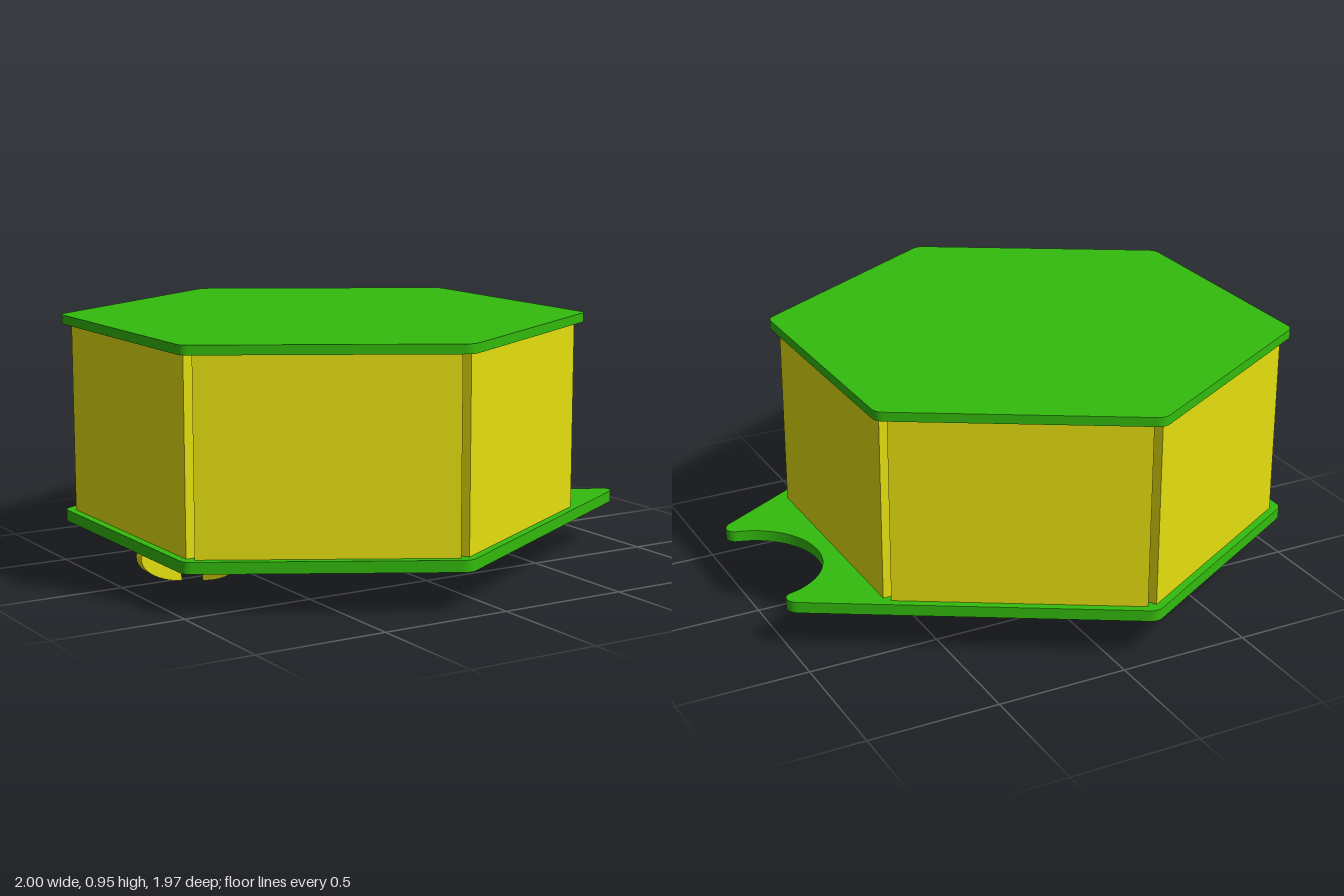
import * as THREE from 'three';

const CX = -0.14;          // hexagon centre along x
const APOTHEM = 0.86;      // lid and floor hexagon
const R = APOTHEM / Math.cos(Math.PI / 6);

const green = new THREE.MeshStandardMaterial({ color: 0x33bb0d });
const yellow = new THREE.MeshStandardMaterial({ color: 0xe6e010 });

function addMesh(parent, name, geometry, material) {
  const mesh = new THREE.Mesh(geometry, material);
  mesh.name = name;
  parent.add(mesh);
  return mesh;
}

// Hexagon corner k, with corners pointing along z
function corner(k) {
  const a = Math.PI / 2 + (k * Math.PI) / 3;
  return new THREE.Vector2(CX + R * Math.cos(a), R * Math.sin(a));
}

// Softly rounded corner between two neighbours
function roundCorner(shape, k, start) {
  const p = corner(k);
  const near = (q) => p.clone().lerp(q, 0.03 / R);
  const a = near(corner(k - 1)), b = near(corner(k + 1));
  if (start) shape.moveTo(a.x, a.y);
  else shape.lineTo(a.x, a.y);
  shape.quadraticCurveTo(p.x, p.y, b.x, b.y);
}

// Lay a plan (x, z) flat as a plate between two heights
function plate(shape, bottom, top) {
  const g = new THREE.ExtrudeGeometry(shape, { depth: top - bottom, bevelEnabled: false, curveSegments: 16 });
  return g.rotateX(Math.PI / 2).translate(0, top, 0);
}

function lidShape() {
  const s = new THREE.Shape();
  for (let k = 0; k < 6; k++) roundCorner(s, k, k === 0);
  s.closePath();
  return s;
}

// Floor runs on past the hexagon into two tips around a round notch
function floorShape() {
  const s = new THREE.Shape();
  for (let k = 0; k < 4; k++) roundCorner(s, k, k === 0);
  const end = Math.atan2(0.271, -0.069);
  s.lineTo(0.975, -0.349);
  s.bezierCurveTo(1.015, -0.325, 1.008, -0.278, 0.966, -0.271);
  s.absarc(1.035, 0, 0.28, -end, end, true);
  s.bezierCurveTo(1.008, 0.278, 1.015, 0.325, 0.975, 0.349);
  s.closePath();
  return s;
}

// Snap peg: collar plus three radial hooked blades
function makePeg(name) {
  const peg = new THREE.Group();
  peg.name = name;
  addMesh(peg, 'pegCollar', new THREE.CylinderGeometry(0.162, 0.162, 0.05, 32), yellow).position.set(0.025, 0.135, 0);

  const s = new THREE.Shape();
  s.moveTo(0.075, 0.15);
  s.lineTo(0.055, 0);
  s.bezierCurveTo(0.13, 0.005, 0.22, 0.045, 0.22, 0.1);
  s.quadraticCurveTo(0.22, 0.125, 0.19, 0.13);
  s.lineTo(0.14, 0.13);
  s.lineTo(0.14, 0.15);
  s.closePath();
  const blade = new THREE.ExtrudeGeometry(s, { depth: 0.044, bevelEnabled: false, curveSegments: 12 });
  blade.translate(0, 0, -0.022);
  for (let i = 0; i < 3; i++) {
    addMesh(peg, 'pegBlade', blade, yellow).rotation.y = (i * 2 * Math.PI) / 3;
  }
  return peg;
}

export function createModel() {
  const model = new THREE.Group();
  model.name = 'hexagonalBox';

  addMesh(model, 'lid', plate(lidShape(), 0.915, 0.95), green);
  addMesh(model, 'floorPlate', plate(floorShape(), 0.157, 0.2), green);

  // Six wall panels meeting at their inner edges
  const panel = new THREE.BoxGeometry(0.918, 0.715, 0.036);
  for (let i = 0; i < 6; i++) {
    const a = (i * Math.PI) / 3;
    const wall = addMesh(model, 'wallPanel', panel, yellow);
    wall.position.set(CX + 0.812 * Math.cos(a), 0.5575, 0.812 * Math.sin(a));
    wall.rotation.y = Math.PI / 2 - a;
  }

  // Mirrored pegs under the floor
  const leftPeg = makePeg('leftPeg');
  leftPeg.position.x = CX + 0.57;
  const rightPeg = makePeg('rightPeg');
  rightPeg.position.x = CX - 0.57;
  rightPeg.rotation.y = Math.PI;
  model.add(leftPeg, rightPeg);

  return model;
}
